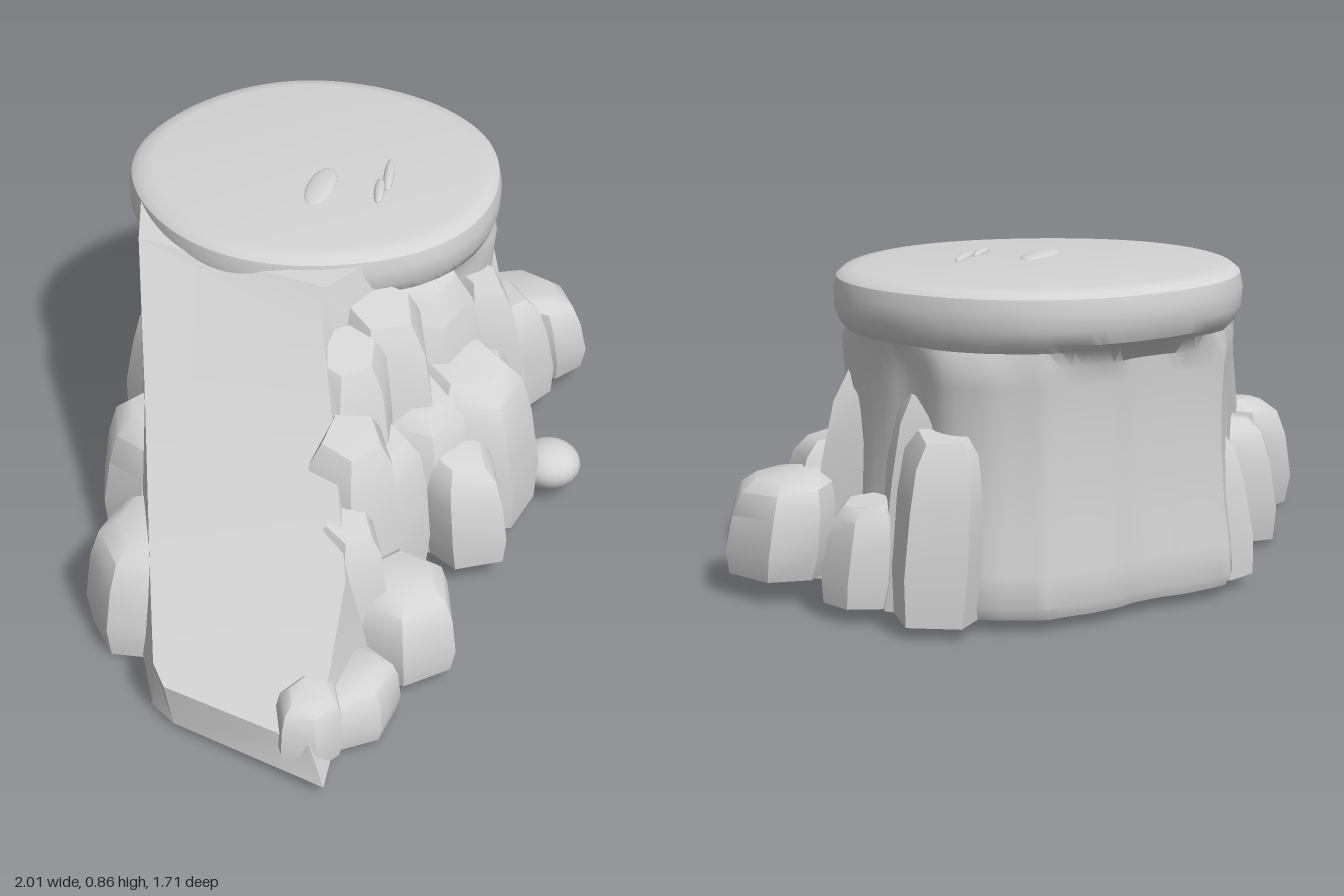
import * as THREE from 'three';
import { toCreasedNormals } from 'three/addons/utils/BufferGeometryUtils.js';
import { ConvexGeometry } from 'three/addons/geometries/ConvexGeometry.js';

const stone = new THREE.MeshStandardMaterial({ color: 0xd4d4d4 });
stone.name = 'grey stone';

let seed = 7;
const rand = () => (seed = (seed * 16807) % 2147483647) / 2147483647;
const { clamp, smoothstep } = THREE.MathUtils;

function addMesh(parent, name, geometry) {
  const mesh = new THREE.Mesh(geometry, stone);
  mesh.name = name;
  parent.add(mesh);
  return mesh;
}

// Chiselled rock: a convex hull of uneven rings that leans in towards the
// tower, with a top that slopes down and outwards
function rockGeometry(x, z, rx, rz, y0, y1, sides) {
  const points = [];
  const h = y1 - y0;
  const turn = rand() * 6.28;
  const out = Math.atan2(z + 0.3, x - 0.2);
  const wobble = Array.from({ length: sides }, () => 0.97 + rand() * 0.14);
  for (const [t, s] of [[0, 0.92], [0.25, 1.03], [0.65, 0.98], [0.87, 0.86], [0.97, 0.6]]) {
    for (let i = 0; i < sides; i++) {
      const a = turn + (i / sides) * Math.PI * 2;
      const slope = t > 0.6 ? Math.cos(a - out) * s * 0.07 * h : 0;
      const lean = 0.12 * h * t;
      points.push(new THREE.Vector3(
        x + Math.cos(a) * rx * s * wobble[i] - Math.cos(out) * lean,
        y0 + t * h - slope,
        z + Math.sin(a) * rz * s * wobble[i] - Math.sin(out) * lean));
    }
  }
  return toCreasedNormals(new ConvexGeometry(points), 0.7);
}

function indexedGeometry(points, index) {
  const g = new THREE.BufferGeometry();
  g.setAttribute('position', new THREE.Float32BufferAttribute(points.flat(), 3));
  g.setIndex(index);
  return toCreasedNormals(g, 0.5);
}

// Closed skin over four-cornered cross-sections
function loft(sections) {
  const index = [];
  const n = sections[0].length;
  for (let i = 0; i < sections.length - 1; i++) {
    for (let j = 0; j < n; j++) {
      const a = i * n + j, b = i * n + (j + 1) % n;
      index.push(a, a + n, b, b, a + n, b + n);
    }
  }
  const e = (sections.length - 1) * n;
  for (let j = 1; j < n - 1; j++) {
    index.push(0, j, j + 1);
    index.push(e, e + j + 1, e + j);
  }
  return indexedGeometry(sections.flat(), index);
}

// Tower: round overhanging rim on a squarer, faintly fluted body
function towerGeometry() {
  const profile = [
    [0, 0.03], [0.51, 0.03], [0.525, 0.06], [0.52, 0.14], [0.505, 0.25], [0.495, 0.4],
    [0.495, 0.52], [0.5, 0.6], [0.505, 0.65], [0.495, 0.69], [0.51, 0.71], [0.523, 0.745],
    [0.525, 0.79], [0.518, 0.825], [0.5, 0.84], [0.46, 0.845], [0, 0.845],
  ].map(([r, y]) => new THREE.Vector2(r, y));
  const g = new THREE.LatheGeometry(profile, 96);
  const p = g.attributes.position;
  for (let i = 0; i < p.count; i++) {
    const x = p.getX(i), y = p.getY(i), z = p.getZ(i);
    const a = Math.atan2(z, x);
    const side = smoothstep(0.72 - y, 0, 0.07);
    const body = Math.min(0.5, 0.46 / Math.abs(Math.cos(a)), (z < 0 ? 0.415 : 0.44) / Math.abs(Math.sin(a)));
    const flute = 0.015 * Math.tanh(2 * Math.sin(a * 9 + 0.7));
    const k = 1 + side * (body / 0.5 - 1 + flute) + (1 - side) * 0.008 * Math.sin(a * 5);
    p.setXYZ(i, x * k + 0.265, y - (y > 0.6 ? (x + z) * 0.006 : 0), z * k - 0.34);
  }
  return toCreasedNormals(g, 0.6);
}

// Underside: a shallow fan from its middle to a rim tucked inside the rocks
function undersideGeometry() {
  const rim = [
    [-0.98, 0.36], [-0.89, 0.83], [-0.78, 0.77], [-0.6, 0.74], [-0.36, 0.7], [-0.3, 0.52],
    [-0.1, 0.43], [0, 0.52], [0.1, 0.5], [0.32, 0.42], [0.46, 0.24], [0.7, 0.12],
    [0.86, 0.08], [0.88, -0.1], [0.76, -0.24], [0.78, -0.55], [0.64, -0.7], [0.4, -0.74],
    [0, -0.72], [-0.12, -0.64], [-0.4, -0.36], [-0.53, -0.28], [-0.6, -0.08], [-0.8, -0.03],
    [-0.85, 0.14],
  ];
  const points = [[-0.25, 0.008, 0.02]];
  const index = [];
  rim.forEach(([x, z], i) => {
    const lift = clamp((x + 0.7) / 0.5, 0, 1) * clamp((z + 0.5) / 0.5, 0, 1);
    points.push([x, 0.015 + 0.05 * lift + 0.02 * z * z, z]);
    index.push(0, 1 + (i + 1) % rim.length, 1 + i);
  });
  return indexedGeometry(points, index);
}

export function createModel() {
  const group = new THREE.Group();
  group.name = 'rockOutcrop';

  addMesh(group, 'underside', undersideGeometry());
  addMesh(group, 'tower', towerGeometry());

  // Ramp sections: back foot, back edge, front edge, front foot
  addMesh(group, 'ramp', loft([
    [[0.0, 0.03, -0.7], [0.0, 0.83, -0.76], [0.12, 0.82, 0.1], [0.2, 0.06, 0.28]],
    [[-0.2, 0.03, -0.56], [-0.19, 0.83, -0.57], [-0.14, 0.81, 0.1], [-0.02, 0.06, 0.35]],
    [[-0.34, 0.03, -0.4], [-0.3, 0.79, -0.46], [-0.2, 0.73, 0.15], [-0.16, 0.06, 0.4]],
    [[-0.6, 0.02, -0.12], [-0.55, 0.53, -0.17], [-0.36, 0.56, 0.35], [-0.32, 0.06, 0.48]],
    [[-0.82, 0.01, 0.08], [-0.78, 0.32, 0.09], [-0.57, 0.35, 0.6], [-0.54, 0.04, 0.68]],
    [[-0.98, 0.015, 0.31], [-0.98, 0.16, 0.32], [-0.8, 0.17, 0.75], [-0.8, 0.03, 0.78]],
    [[-0.99, 0.015, 0.4], [-1.0, 0.13, 0.38], [-0.88, 0.11, 0.78], [-0.9, 0.03, 0.85]],
  ]));

  // Rocks: x, z, half width, half depth, bottom, top, sides
  const rocks = {
    rampRock: [
      [-0.83, 0.73, 0.09, 0.08, 0.03, 0.21, 6],
      [-0.67, 0.72, 0.13, 0.1, 0.02, 0.18, 6],
      [-0.4, 0.64, 0.14, 0.14, 0.04, 0.28, 6],
      [-0.5, 0.55, 0.09, 0.1, 0.04, 0.44, 5],
      [-0.37, 0.44, 0.13, 0.12, 0.05, 0.59, 5],
      [-0.2, 0.36, 0.12, 0.13, 0.06, 0.47, 5],
      [-0.22, 0.27, 0.14, 0.13, 0.06, 0.7, 6],
    ],
    frontRock: [
      [0.03, 0.46, 0.12, 0.14, 0.06, 0.36, 5],
      [0.02, 0.33, 0.15, 0.14, 0.06, 0.5, 6],
      [-0.03, 0.24, 0.15, 0.15, 0.06, 0.74, 5],
      [0.2, 0.2, 0.18, 0.14, 0.06, 0.74, 6],
      [0.2, 0.35, 0.17, 0.17, 0.06, 0.52, 6],
      [0.36, 0.26, 0.12, 0.14, 0.06, 0.41, 5],
      [0.51, 0.14, 0.11, 0.12, 0.05, 0.6, 5],
    ],
    sideRock: [
      [0.69, 0.03, 0.14, 0.14, 0.05, 0.4, 5],
      [0.87, -0.03, 0.13, 0.17, 0.06, 0.32, 7],
      [0.7, -0.1, 0.12, 0.12, 0.04, 0.61, 5],
      [0.84, -0.36, 0.09, 0.1, 0.04, 0.3, 6],
      [0.72, -0.45, 0.1, 0.12, 0.03, 0.6, 6],
      [0.75, -0.58, 0.12, 0.13, 0.03, 0.5, 5],
    ],
    backRock: [
      [-0.44, -0.28, 0.15, 0.16, 0.015, 0.37, 7],
      [-0.74, 0.06, 0.17, 0.17, 0, 0.33, 7],
      [-0.08, -0.65, 0.1, 0.1, 0.03, 0.43, 6],
    ],
  };
  for (const [name, list] of Object.entries(rocks)) {
    list.forEach((r) => addMesh(group, name, rockGeometry(...r)));
  }

  // Loose pebble in front
  const pebble = addMesh(group, 'pebble', new THREE.SphereGeometry(1, 20, 14));
  pebble.scale.set(0.09, 0.065, 0.09);
  pebble.position.set(0.445, 0.095, 0.41);

  // Shallow worn bumps on the flat top: x, z, half length, half width, turn
  for (const [x, z, l, w, turn] of [
    [0.18, -0.24, 0.11, 0.04, 0.55],
    [0.28, -0.11, 0.07, 0.015, 0.7],
    [0.36, -0.15, 0.09, 0.015, 0.7],
  ]) {
    const bump = addMesh(group, 'topBump', new THREE.SphereGeometry(1, 20, 10));
    bump.scale.set(l, 0.012, w);
    bump.rotation.y = turn;
    bump.position.set(x, 0.843, z);
  }
  return group;
}
